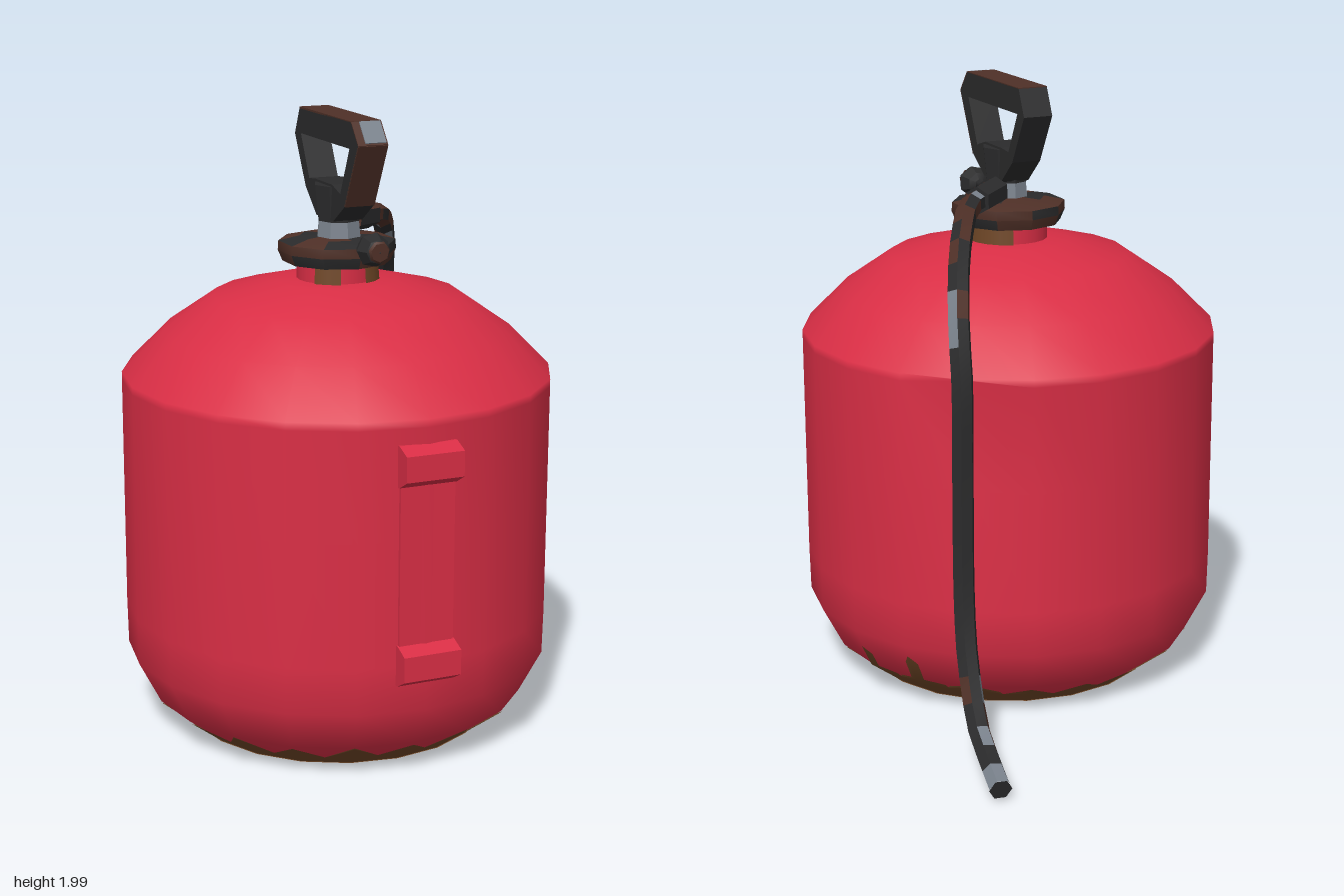
import * as THREE from 'three';
import { mergeVertices, toCreasedNormals } from 'three/addons/utils/BufferGeometryUtils.js';

const AXIS_Z = 0.17; // the tank's axis sits forward of the centre
const make = (name, hex) => {
  const m = new THREE.MeshStandardMaterial({ color: hex });
  m.name = name;
  return m;
};
const rand = (i) => {
  const s = Math.sin(i * 12.9898 + 4.1) * 43758.5453;
  return s - Math.floor(s);
};
const V2 = (pairs) => pairs.map(([a, b]) => new THREE.Vector2(a, b));

// Gives every quad its own material index
function mottle(geo, pick) {
  const g = toCreasedNormals(geo, 0.7);
  const p = g.attributes.position;
  g.clearGroups();
  for (let i = 0; i < p.count; i += 6) {
    const c = new THREE.Vector3().fromBufferAttribute(p, i);
    g.addGroup(i, Math.min(6, p.count - i), pick(c, i / 6));
  }
  return g;
}

// Extrudes a side profile of (z, y) points across x
function sideExtrude(outline, width, hole) {
  const shape = new THREE.Shape(V2(outline));
  if (hole) shape.holes.push(new THREE.Path(V2(hole)));
  return new THREE.ExtrudeGeometry(shape, { depth: width, bevelEnabled: false })
    .rotateY(-Math.PI / 2)
    .translate(width / 2, 0, 0);
}

export function createModel() {
  const red = make('red paint', 0xd92e45);
  const dirt = make('base rust', 0x6e4626);
  const black = make('black metal', 0x2b2b2c);
  const rust = make('rusty metal', 0x4f3027);
  const steel = make('bare steel', 0x7a828c);
  const metals = [black, rust, steel];
  dirt.side = THREE.DoubleSide;

  const model = new THREE.Group();
  const add = (name, geo, mat, x = 0, y = 0, z = 0) => {
    const mesh = new THREE.Mesh(geo, mat);
    mesh.name = name;
    mesh.position.set(x, y, z);
    model.add(mesh);
    return mesh;
  };

  // Tank, with a hollow behind the hose that fades out downwards
  const profile = [[0.49, 0.01], [0.62, 0.11], [0.692, 0.25], [0.695, 0.4], [0.695, 0.8],
    [0.695, 1.15], [0.695, 1.175], [0.56, 1.31], [0.4, 1.42], [0.2, 1.47], [0.12, 1.475]];
  let tank = new THREE.LatheGeometry(V2(profile), 20);
  const tp = tank.attributes.position;
  for (let i = 0; i < tp.count; i++) {
    const y = tp.getY(i);
    if (Math.floor(i / profile.length) === 8 && y > 0.41 && y < 1.16) {
      const k = 1 - 0.1 * (y - 0.4) / 0.75;
      tp.setX(i, tp.getX(i) * k);
      tp.setZ(i, tp.getZ(i) * k);
    }
  }
  tank.deleteAttribute('normal');
  tank.deleteAttribute('uv');
  tank = mergeVertices(tank, 1e-4);
  tank.computeVertexNormals();
  add('tank', tank, red, 0, 0, AXIS_Z);

  // Jagged rust creeping up from the base, highest behind on the hose side
  const rows = [0.006, 0.06, 0.11, 0.23];
  const crown = new THREE.LatheGeometry(V2(rows.map((y) => [0.5, y])), 40);
  const cp = crown.attributes.position;
  for (let i = 0; i < cp.count; i++) {
    const col = Math.floor(i / rows.length);
    const d = (col * 9 - 126) / 36;
    const peak = 0.09 + 0.03 * rand(col % 40) + 0.11 * Math.max(0, 1 - d * d);
    const y = Math.min(cp.getY(i), col % 2 ? peak * 0.4 : peak);
    const base = y < 0.11 ? 0.49 + 1.3 * (y - 0.01) : 0.62 + 0.514 * (y - 0.11);
    const r = base * (col % 2 ? Math.cos(Math.PI / 20) : 1) + 0.006;
    const phi = (col * Math.PI) / 20;
    cp.setXYZ(i, r * Math.sin(phi), y, r * Math.cos(phi));
  }
  crown.computeVertexNormals();
  add('rustEdge', crown, dirt, 0, 0, AXIS_Z);
  add('rustyBase', new THREE.CircleGeometry(0.495, 20).rotateX(Math.PI / 2), dirt, 0, 0.006, AXIS_Z);

  // Front bracket: strip and two lugs
  add('bracketStrip', new THREE.BoxGeometry(0.18, 0.7, 0.06), red, 0, 0.72, 0.832);
  const lug = [[0.82, 1.1], [0.86, 1.1], [0.912, 1.08], [0.912, 1.0], [0.86, 0.97], [0.82, 0.97]];
  add('upperLug', sideExtrude(lug, 0.19), red);
  add('lowerLug', sideExtrude(lug.map(([z, y]) => [z, y - 0.63]), 0.19), red);

  // Neck with rust patches
  add('neck', new THREE.CylinderGeometry(0.13, 0.13, 0.09, 20, 1, true), red, 0, 1.495, AXIS_Z);
  for (const [start, sweep] of [[18, 36], [90, 72], [306, 36]]) {
    const rad = Math.PI / 180;
    add('neckRust', new THREE.CylinderGeometry(0.134, 0.14, 0.07, sweep / 18, 1, true,
      start * rad, sweep * rad), dirt, 0, 1.5, AXIS_Z);
  }

  // Collar and valve stem
  const collar = new THREE.LatheGeometry(V2([[0.001, 1.53], [0.175, 1.53], [0.19, 1.565],
    [0.188, 1.595], [0.12, 1.61], [0.001, 1.615]]), 10);
  add('collar', mottle(collar, (c, i) => (rand(i) < 0.55 ? 1 : 0)), metals, 0, 0, AXIS_Z);
  add('valveRing', toCreasedNormals(new THREE.CylinderGeometry(0.068, 0.075, 0.07, 8), 0.7), steel, 0, 1.635, 0.185);
  add('valveStem', toCreasedNormals(new THREE.CylinderGeometry(0.082, 0.07, 0.115, 8), 0.7), black, 0, 1.72, 0.185);

  // Carrying handle loop with worn top and front
  add('handle', sideExtrude(
    [[0.39, 1.997], [0.445, 1.93], [0.345, 1.73], [0.255, 1.67], [0.12, 1.67], [0.03, 1.75], [-0.06, 1.91], [-0.02, 1.997]],
    0.1,
    [[0.38, 1.915], [-0.01, 1.915], [0.06, 1.78], [0.115, 1.785], [0.245, 1.785], [0.31, 1.765]]), black);
  const plate = (name, mat, [z1, y1], [z2, y2], width = 0.1) => {
    const len = Math.hypot(z2 - z1, y2 - y1);
    const m = add(name, new THREE.BoxGeometry(width, 0.006, len), mat, 0, (y1 + y2) / 2, (z1 + z2) / 2);
    m.rotation.x = -Math.atan2(y2 - y1, z2 - z1);
    return m;
  };
  plate('handleTopRust', rust, [-0.02, 1.997], [0.39, 1.997]);
  plate('handleFrontRust', rust, [0.345, 1.73], [0.445, 1.93]);
  plate('handleCornerRust', rust, [0.445, 1.93], [0.39, 1.997]);
  plate('handleCornerWear', steel, [0.444, 1.937], [0.394, 1.998], 0.07).position.x = 0.01;

  // Pull pin
  add('pinKnob', toCreasedNormals(new THREE.SphereGeometry(0.055, 7, 4).rotateX(Math.PI / 2), 0.5), black, 0, 1.61, 0.45);
  add('pinFace', new THREE.CylinderGeometry(0.03, 0.036, 0.008, 7).rotateX(Math.PI / 2), rust, 0, 1.61, 0.5);
  add('pinShaft', new THREE.CylinderGeometry(0.018, 0.018, 0.06, 6).rotateX(Math.PI / 2), black, 0, 1.61, 0.4);

  // Hose and its coupling
  const path = new THREE.CatmullRomCurve3([
    [0.08, 1.645, 0.1], [0.22, 1.635, -0.02], [0.32, 1.58, -0.18], [0.38, 1.49, -0.29],
    [0.42, 1.34, -0.38], [0.435, 1.18, -0.435], [0.44, 0.86, -0.445], [0.45, 0.49, -0.47],
    [0.465, 0.32, -0.525], [0.485, 0.13, -0.65], [0.5, 0.08, -0.76], [0.525, 0.045, -0.905],
  ].map((p) => new THREE.Vector3(...p)));
  add('hose', mottle(new THREE.TubeGeometry(path, 26, 0.036, 6), (c, i) => {
    if (c.y > 0.35 && c.y < 1.3) return 0;
    const r = rand(i);
    return r < 0.17 ? 2 : r < 0.4 ? 1 : 0;
  }), metals);
  const tip = add('hoseTip', new THREE.CircleGeometry(0.036, 6), black);
  tip.position.copy(path.getPoint(1));
  tip.lookAt(path.getPoint(1).add(path.getTangent(1)));

  const coupling = new THREE.CylinderGeometry(0.047, 0.047, 0.14, 6).rotateX(Math.PI / 2);
  const sleeve = add('hoseCoupling', mottle(coupling, (c, i) => (rand(i + 7) < 0.3 ? 1 : 0)), metals, 0.13, 1.645, 0.055);
  sleeve.lookAt(0.22, 1.637, -0.02);

  return model;
}
